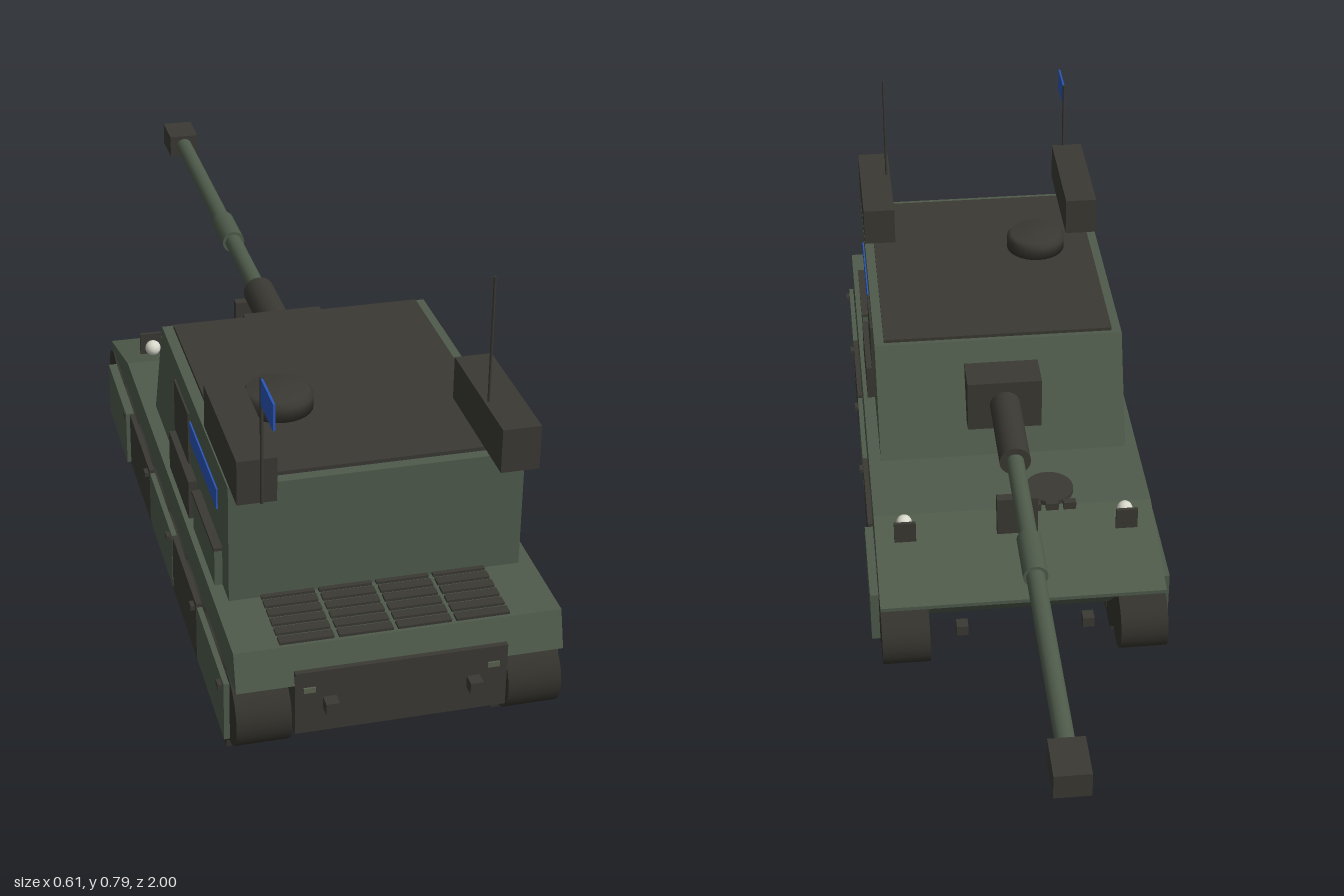
import * as THREE from 'three';

export function createModel() {
  const root = new THREE.Group();
  root.name = 'selfPropelledGun';
  const mat = (name, color, side = THREE.FrontSide) => {
    const m = new THREE.MeshStandardMaterial({ color, side });
    m.name = name;
    return m;
  };
  const green = mat('armourGreen', 0x4f5b4b);
  const dark = mat('darkMetal', 0x3a3933);
  const rubber = mat('trackRubber', 0x33322c);
  const blue = mat('markingBlue', 0x2a56b8, THREE.DoubleSide);
  const lens = mat('lampLens', 0xd8d8cc);
  const lamp = mat('tailLampGrey', 0x59624f);

  const add = (name, geo, material, x = 0, y = 0, z = 0) => {
    const m = new THREE.Mesh(geo, material);
    m.name = name;
    m.position.set(x, y, z);
    root.add(m);
    return m;
  };
  // box given by its limits on each axis
  const box = (name, material, x0, x1, y0, y1, z0, z1) =>
    add(name, new THREE.BoxGeometry(Math.abs(x1 - x0), y1 - y0, z1 - z0), material,
      (x0 + x1) / 2, (y0 + y1) / 2, (z0 + z1) / 2);
  // side profile of [z, y] points, extruded across x
  const profile = (name, material, halfWidth, points) => {
    const shape = new THREE.Shape(points.map(([z, y]) => new THREE.Vector2(z, y)));
    const geo = new THREE.ExtrudeGeometry(shape, { depth: halfWidth * 2, bevelEnabled: false });
    geo.translate(0, 0, -halfWidth).rotateY(-Math.PI / 2);
    return add(name, geo, material);
  };
  // tube section along z
  const rod = (name, material, r, z0, z1, x, y, r2 = r) =>
    add(name, new THREE.CylinderGeometry(r, r2, z1 - z0, 20).rotateX(Math.PI / 2), material, x, y, (z0 + z1) / 2);
  const post = (name, material, r, y0, y1, x, z, sides = 24) =>
    add(name, new THREE.CylinderGeometry(r, r, y1 - y0, sides), material, x, (y0 + y1) / 2, z);

  // hull
  profile('upperHull', green, 0.285, [[0.975, 0.17], [0.955, 0.237], [-0.08, 0.237], [-0.3, 0.178], [-0.3, 0.17]]);
  box('lowerHull', dark, -0.185, 0.185, 0.073, 0.17, -0.2, 0.96);
  profile('noseArmour', green, 0.185, [[-0.2, 0.17], [-0.298, 0.17], [-0.2, 0.073]]);
  box('rearPlate', dark, -0.185, 0.185, 0.073, 0.195, 0.955, 0.977);

  // engine grille
  for (let row = 0; row < 6; row++)
    for (let col = 0; col < 4; col++) {
      const x = -0.205 + col * 0.102;
      const z = 0.795 + row * 0.027;
      box('grilleSlat', dark, x, x + 0.094, 0.235, 0.242, z, z + 0.019);
    }

  // running gear, skirts and mirrored fittings
  for (const s of [-1, 1]) {
    const wheel = (name, r, y, z) =>
      add(name, new THREE.CylinderGeometry(r, r, 0.095, 28).rotateZ(Math.PI / 2), rubber, s * 0.2375, y, z);
    wheel('driveWheel', 0.063, 0.097, 0.915);
    wheel('idlerWheel', 0.063, 0.097, -0.277);
    for (let i = 0; i < 7; i++) wheel('roadWheel', 0.06, 0.068, 0.866 - i * 0.1745);
    box('trackRun', rubber, s * 0.19, s * 0.285, 0, 0.013, -0.205, 0.893);

    const edges = [0.93, 0.695, 0.463, 0.228, -0.008, -0.235];
    for (let i = 0; i < 5; i++) {
      const outer = i === 4 ? 0.303 : 0.296;
      box('sideSkirt', i % 2 ? dark : green, s * 0.286, s * outer, 0.043, i % 2 ? 0.16 : 0.157,
        edges[i + 1] + 0.003, edges[i] - 0.003);
      box('skirtHinge', dark, s * 0.286, s * 0.304, 0.141, 0.15, edges[i] - 0.03, edges[i] - 0.012);
    }
    box('skirtRail', green, s * 0.185, s * 0.287, 0.16, 0.171, -0.235, 0.93).scale.set(0.05, 1, 1);

    box('rearTowHook', dark, s * 0.114, s * 0.137, 0.12, 0.142, 0.975, 1);
    box('frontTowHook', dark, s * 0.114, s * 0.137, 0.12, 0.142, -0.328, -0.303);
    box('tailLamp', lamp, s * 0.15, s * 0.171, 0.155, 0.165, 0.976, 0.98);
    add('headlamp', new THREE.SphereGeometry(0.016, 16, 10), lens, s * 0.225, 0.248, -0.118);
    box('headlampGuard', dark, s * 0.203, s * 0.247, 0.222, 0.268, -0.15, -0.143);

    // turret stowage and markings
    box('stowageBin', green, s * 0.255, s * 0.274, 0.237, 0.308, 0.565, 0.753);
    box('binLid', dark, s * 0.255, s * 0.276, 0.308, 0.314, 0.562, 0.756);
    box('stowageBin', dark, s * 0.255, s * 0.276, 0.237, 0.314, 0.345, 0.533);
    box('armourPanel', dark, s * 0.255, s * 0.264, 0.316, 0.421, 0.34, 0.474);
    box('sideStripe', blue, s * 0.257, s * 0.263, 0.37, 0.41, 0.483, 0.72);
    box('roofBox', dark, s * 0.192, s * 0.26, 0.471, 0.553, 0.61, 0.875);
  }

  // turret
  profile('turret', green, 0.26, [[0.805, 0.237], [0.805, 0.463], [0.205, 0.463], [0.108, 0.237]]);
  box('roofPlate', dark, -0.24, 0.24, 0.46, 0.47, 0.215, 0.785);
  const cupola = [[0, 0], [0.063, 0], [0.063, 0.026], [0.055, 0.036], [0, 0.038]];
  add('commanderCupola', new THREE.LatheGeometry(cupola.map(p => new THREE.Vector2(...p)), 28),
    dark, -0.118, 0.47, 0.565);

  // gun, pointing along -z
  box('mantlet', dark, -0.08, 0.075, 0.307, 0.42, 0.105, 0.185);
  rod('gunSleeve', dark, 0.032, -0.095, 0.12, -0.003, 0.366);
  rod('barrel', green, 0.018, -0.915, -0.09, -0.003, 0.366);
  rod('boreEvacuator', green, 0.024, -0.457, -0.343, -0.003, 0.366);
  box('muzzleBrake', dark, -0.036, 0.03, 0.341, 0.391, -1, -0.91);

  // driver's hatch, periscopes and travel lock
  post('driverHatch', dark, 0.05, 0.236, 0.248, -0.08, -0.03);
  for (let i = -1; i <= 1; i++)
    box('periscope', dark, -0.093 + i * 0.036, -0.067 + i * 0.036, 0.225, 0.25, -0.092, -0.077);
  box('travelLock', dark, -0.042, 0.04, 0.235, 0.32, -0.16, -0.14);

  // aerials and flag
  post('aerial', dark, 0.0025, 0.47, 0.788, 0.2, 0.775, 8);
  post('flagpole', dark, 0.003, 0.47, 0.705, -0.218, 0.875, 8);
  box('flag', blue, -0.22, -0.216, 0.655, 0.703, 0.876, 0.963);

  return root;
}
